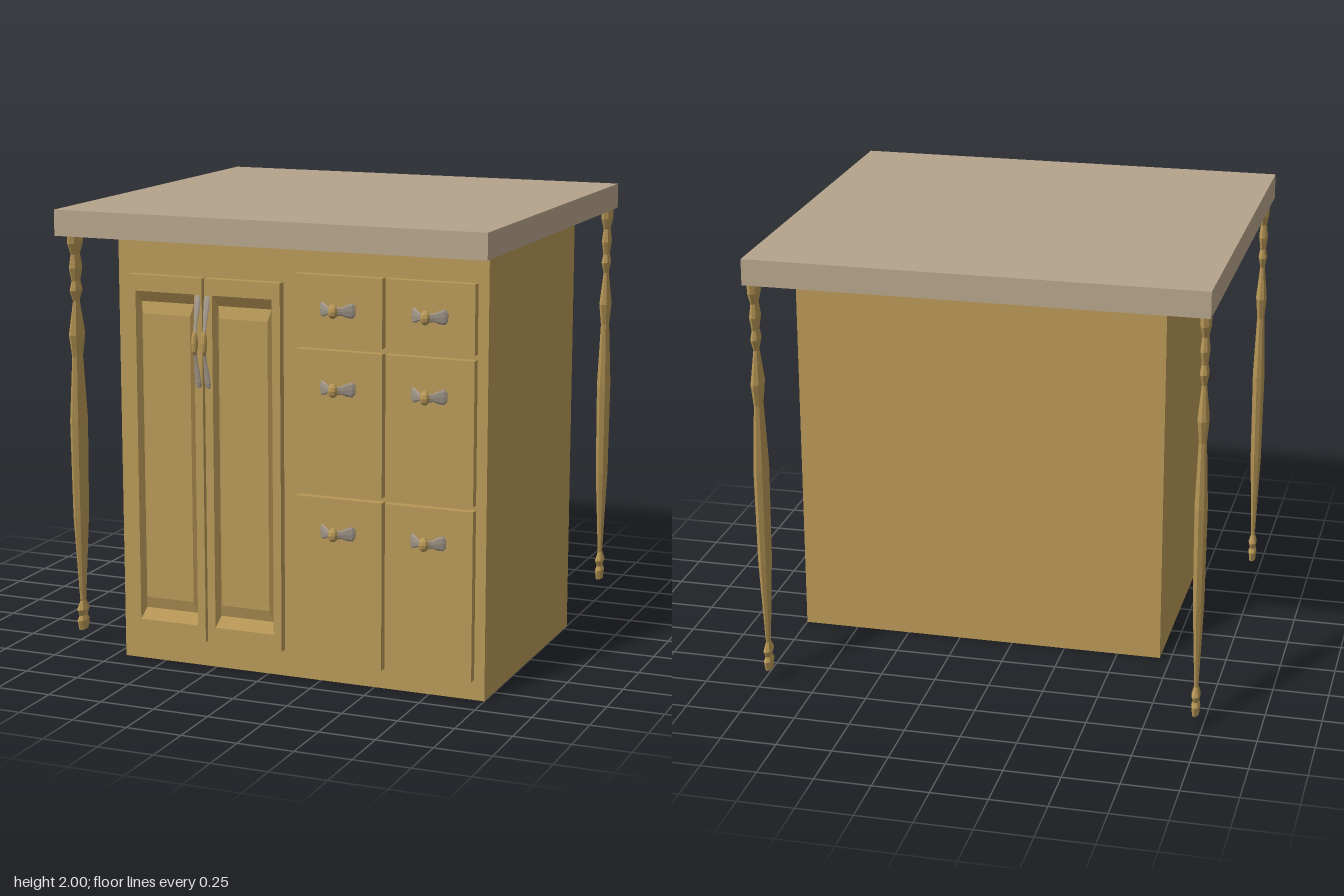
import * as THREE from 'three';

const wood = new THREE.MeshStandardMaterial({ name: 'honeyWood', color: 0xb69656, flatShading: true });
const stone = new THREE.MeshStandardMaterial({ name: 'beigeStone', color: 0xb5a38a, flatShading: true });
const metal = new THREE.MeshStandardMaterial({ name: 'warmGreyMetal', color: 0xa3988a, flatShading: true });

function add(parent, name, geometry, material, x = 0, y = 0, z = 0) {
  const mesh = new THREE.Mesh(geometry, material);
  mesh.name = name;
  mesh.position.set(x, y, z);
  parent.add(mesh);
  return mesh;
}

// Box given by its minimum and maximum corners
function block(parent, name, material, [x0, y0, z0], [x1, y1, z1]) {
  return add(parent, name, new THREE.BoxGeometry(x1 - x0, y1 - y0, z1 - z0), material,
    (x0 + x1) / 2, (y0 + y1) / 2, (z0 + z1) / 2);
}

// Door: nested rectangles [half width, half height, z] joined outward-in, last one filled
function doorGeometry() {
  const rings = [
    [0.177, 0.81, 0], [0.177, 0.81, 0.038], [0.14, 0.738, 0.038],
    [0.125, 0.69, 0.006], [0.112, 0.638, 0.022],
  ].map(([w, h, z]) => [[-w, -h, z], [w, -h, z], [w, h, z], [-w, h, z]]);
  const pos = [];
  const quad = (a, b, c, d) => pos.push(...a, ...b, ...c, ...a, ...c, ...d);
  for (let i = 0; i < rings.length - 1; i++) {
    for (let j = 0; j < 4; j++) {
      const k = (j + 1) % 4;
      quad(rings[i][j], rings[i][k], rings[i + 1][k], rings[i + 1][j]);
    }
  }
  quad(...rings[rings.length - 1]);
  const g = new THREE.BufferGeometry();
  g.setAttribute('position', new THREE.Float32BufferAttribute(pos, 3));
  g.computeVertexNormals();
  return g;
}

// Bowed handle bar swept through stations [x, z, half height, half thickness]
function handleBarGeometry() {
  const half = [[0.079, 0.004, 0.02, 0.005], [0.07, 0.012, 0.033, 0.008],
    [0.05, 0.027, 0.028, 0.008], [0.032, 0.042, 0.017, 0.006], [0.012, 0.058, 0.02, 0.008]];
  const stations = [...half.map(([x, ...r]) => [-x, ...r]), ...half.slice().reverse()];
  const n = stations.length - 1;
  const g = new THREE.CylinderGeometry(1, 1, 1, 8, n).rotateZ(-Math.PI / 2);
  const p = g.attributes.position;
  for (let i = 0; i < p.count; i++) {
    const [x, z, h, t] = stations[Math.round((p.getX(i) + 0.5) * n)];
    p.setXYZ(i, x, p.getY(i) * h, z + p.getZ(i) * t);
  }
  g.computeVertexNormals();
  return g;
}

const barGeometry = handleBarGeometry();
const knobGeometry = new THREE.SphereGeometry(1, 8, 6).scale(0.022, 0.031, 0.025);

function makeHandle(parent, name, x, y) {
  const handle = new THREE.Group();
  handle.name = name;
  handle.position.set(x, y, 0.916);
  add(handle, 'handleBar', barGeometry, metal);
  add(handle, 'handleKnob', knobGeometry, wood, 0, 0, 0.059);
  parent.add(handle);
  return handle;
}

export function createModel() {
  const model = new THREE.Group();
  model.name = 'kitchenIsland';

  block(model, 'countertop', stone, [-1, 1.885, -1], [1, 2, 0.905]);
  block(model, 'cabinet', wood, [-0.7, 0, -0.3], [1, 1.885, 0.878]);

  // Pair of raised-panel doors with tall upright handles
  const door = doorGeometry();
  for (const x of [-0.462, -0.097]) add(model, 'door', door, wood, x, 0.93, 0.878);
  for (const x of [-0.301, -0.257]) {
    const handle = makeHandle(model, 'doorHandle', x, 1.465);
    handle.rotation.z = Math.PI / 2;
    handle.scale.set(2.56, 0.45, 0.72);
  }

  // Two columns of three drawers: [bottom, top, handle height]
  for (const [x0, x1, hx] of [[0.15, 0.545, 0.347], [0.56, 0.953, 0.757]]) {
    for (const [y0, y1, hy] of [[1.49, 1.787, 1.645], [0.85, 1.467, 1.31], [0.09, 0.828, 0.685]]) {
      block(model, 'drawerFront', wood, [x0, y0, 0.878], [x1, y1, 0.916]);
      makeHandle(model, 'drawerHandle', hx, hy);
    }
  }

  // Flattened turned legs on the three free corners
  const profile = [
    [0, 0.065], [0.035, 0.065], [0.046, 0.11], [0.03, 0.13], [0.047, 0.16], [0.022, 0.2],
    [0.058, 0.6], [0.066, 1.04], [0.04, 1.33], [0.06, 1.43], [0.025, 1.58], [0.047, 1.63],
    [0.032, 1.67], [0.049, 1.73], [0.034, 1.79], [0.057, 1.84], [0.057, 1.885], [0, 1.885],
  ].map(([r, y]) => new THREE.Vector2(r, y));
  const leg = new THREE.LatheGeometry(profile, 8).scale(0.43, 1, 1);
  for (const [x, z] of [[0.97, -0.932], [-0.97, -0.932], [-0.97, 0.775]]) {
    add(model, 'leg', leg, wood, x, 0, z);
  }

  return model;
}
